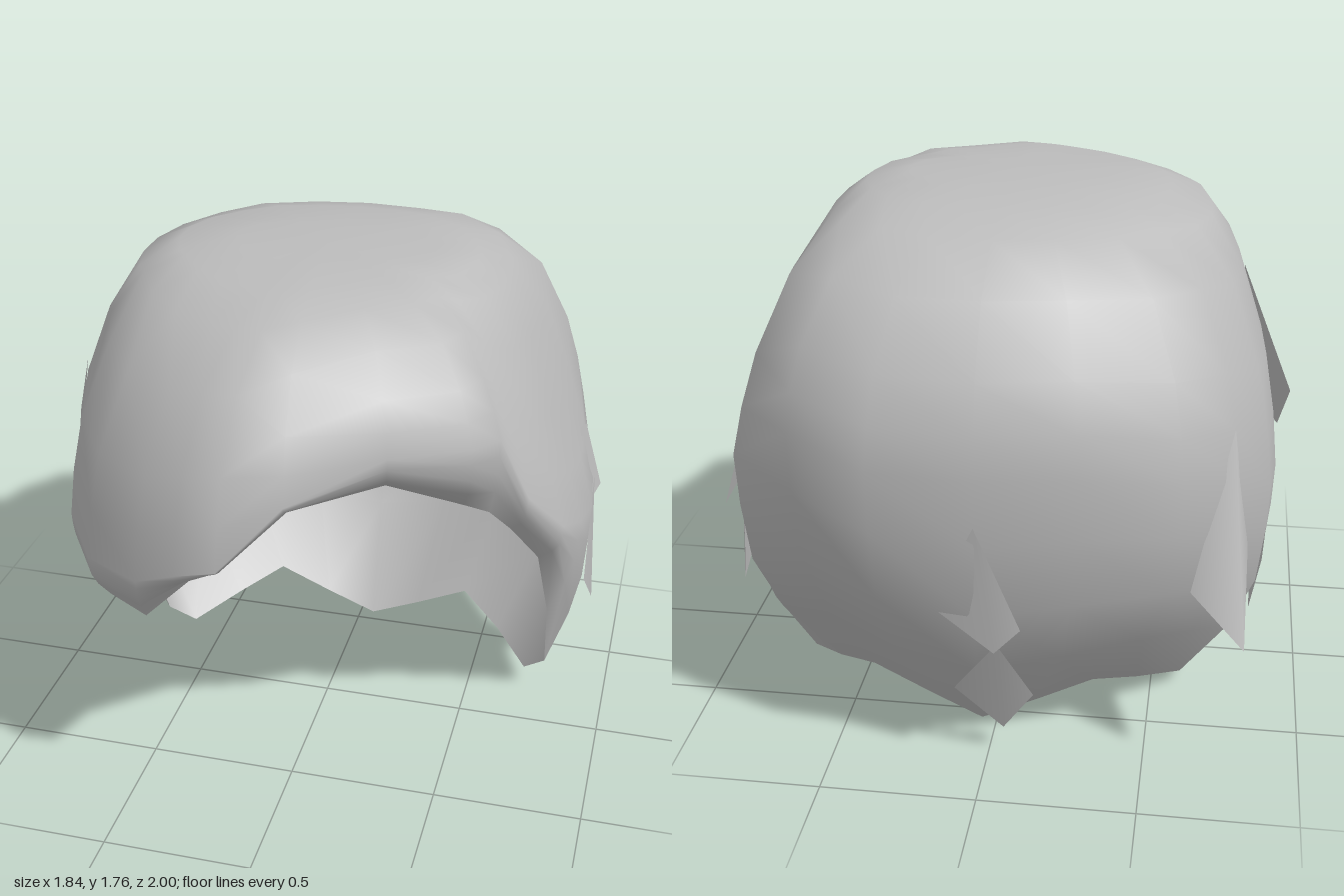
import * as THREE from 'three';

const hairMaterial = new THREE.MeshStandardMaterial({ color: 0xbcbcbc, side: THREE.DoubleSide });
hairMaterial.name = 'hair grey';

// Each strand: widest point (x, y, z), then hem point (x, y, z)
const fringeRight = [
  [-0.08, 1.1, 1.0, -0.07, 1.06, 0.68],
  [0.1, 1.29, 0.91, 0.1, 1.21, 0.52],
  [0.36, 1.38, 0.71, 0.3, 1.18, 0.48],
  [0.59, 1.38, 0.59, 0.55, 1.12, 0.46],
  [0.65, 1.34, 0.43, 0.62, 1.06, 0.38],
  [0.74, 1.12, 0.37, 0.68, 0.95, 0.28],
];
const side = [
  [0.84, 0.95, 0.22, 0.76, 0.78, 0.15],
  [0.88, 0.85, 0, 0.79, 0.48, 0],
  [0.9, 0.8, -0.2, 0.78, 0.14, -0.18],
  [0.88, 0.82, -0.42, 0.7, 0.05, -0.25],
];
const back = [
  [0.8, 1.0, -0.7, 0.57, 0.11, -0.4],
  [0.57, 1.18, -0.9, 0.42, 0.17, -0.53],
  [0.32, 1.1, -0.98, 0.23, 0.08, -0.54],
  [0, 1.1, -1, 0.05, 0, -0.55],
  [-0.3, 1.1, -0.95, -0.13, 0.08, -0.54],
  [-0.6, 1.05, -0.84, -0.32, 0.17, -0.53],
  [-0.76, 0.98, -0.63, -0.46, 0.11, -0.4],
];
const fringeLeft = [
  [-0.79, 1.02, 0.3, -0.76, 0.79, 0.26],
  [-0.72, 0.96, 0.55, -0.67, 0.78, 0.5],
  [-0.57, 0.95, 0.78, -0.52, 0.8, 0.74],
  [-0.36, 0.98, 0.92, -0.34, 0.85, 0.9],
  [-0.22, 1.05, 0.97, -0.2, 0.96, 0.79],
];
// Other side mirrors the first, with its lower hem drawn in a little
const mirrored = side.map(([x, y, z, hx, hy, hz]) =>
  [-x * 0.98, y + 0.04, z, -hx + (hy < 0.5 ? 0.1 : 0), hy, hz]).reverse();
const strands = [...fringeRight, ...side, ...back, ...mirrored, ...fringeLeft];

// Height fractions above the widest point, and the radius at each for front/back, +x and -x
const heights = [0.995, 0.97, 0.9, 0.72, 0.42, 0.2, 0];
const radiiFrontBack = [0.2, 0.42, 0.6, 0.8, 0.93, 0.975, 1];
const radiiPlusX = [0.4, 0.55, 0.65, 0.76, 0.86, 0.94, 1];
const radiiMinusX = [0.35, 0.58, 0.73, 0.84, 0.94, 0.98, 1];
// Fractions across and down from the widest point to the hem
const lower = [[0.03, 0.2], [0.11, 0.43], [0.4, 0.68], [1, 1]];
const TOP = 1.76;

function makeGeometry(positions, index) {
  const g = new THREE.BufferGeometry();
  g.setAttribute('position', new THREE.Float32BufferAttribute(positions, 3));
  g.setIndex(index);
  g.computeVertexNormals();
  return g;
}

// Closed crown and sides, open at the hem
function shell() {
  const pos = [0, TOP, 0], index = [];
  const rows = heights.length + lower.length;
  for (const [x, y, z, hx, hy, hz] of strands) {
    const sideways = (x * x / (x * x + z * z)) ** 2;
    const radiiSide = x > 0 ? radiiPlusX : radiiMinusX;
    heights.forEach((h, k) => {
      const r = THREE.MathUtils.lerp(radiiFrontBack[k], radiiSide[k], sideways);
      pos.push(x * r, y + (TOP - y) * h, z * r);
    });
    for (const [r, h] of lower) pos.push(x + (hx - x) * r, y + (hy - y) * h, z + (hz - z) * r);
  }
  const n = strands.length;
  for (let i = 0; i < n; i++) {
    const a = 1 + i * rows, b = 1 + ((i + 1) % n) * rows;
    index.push(0, a, b);
    for (let r = 0; r < rows - 1; r++) {
      index.push(a + r, a + r + 1, b + r + 1, a + r, b + r + 1, b + r);
    }
  }
  return makeGeometry(pos, index);
}

// Loose locks lying against the shell. Seen from outside: root, left corner, tip, right corner
const locks = {
  leftSideLock: [[0.89, 0.85, -0.35], [0.895, 0.5, -0.2], [0.92, 0.35, -0.33], [0.89, 0.46, -0.4]],
  leftUpperLock: [[0.83, 1.05, -0.3], [0.88, 0.81, -0.16], [0.905, 0.73, -0.51], [0.84, 1.0, -0.44]],
  rightSideLock: [[-0.87, 0.82, -0.3], [-0.85, 0.6, -0.42], [-0.82, 0.35, -0.3], [-0.82, 0.5, -0.12]],
  rightBackLock: [[-0.74, 1.15, -0.64], [-0.63, 0.66, -0.77], [-0.8, 0.52, -0.86], [-0.8, 0.7, -0.52]],
  backLock: [[0, 0.95, -0.995], [0.14, 0.65, -0.94], [-0.05, 0.5, -0.94], [-0.13, 0.58, -0.93]],
  napeLock: [[-0.05, 0.5, -0.89], [0.1, 0.27, -0.79], [-0.05, 0.1, -0.74], [-0.15, 0.25, -0.77]],
  fringeEnd: [[-0.75, 1.38, 0.25], [-0.92, 1.04, -0.04], [-0.89, 0.86, 0.1], [-0.79, 0.88, 0.34]],
};

export function createModel() {
  const group = new THREE.Group();
  group.name = 'hair';
  const add = (name, geometry) => {
    const mesh = new THREE.Mesh(geometry, hairMaterial);
    mesh.name = name;
    group.add(mesh);
  };
  add('hairShell', shell());
  for (const [name, points] of Object.entries(locks)) {
    add(name, makeGeometry(points.flat(), [0, 1, 2, 0, 2, 3]));
  }
  return group;
}
